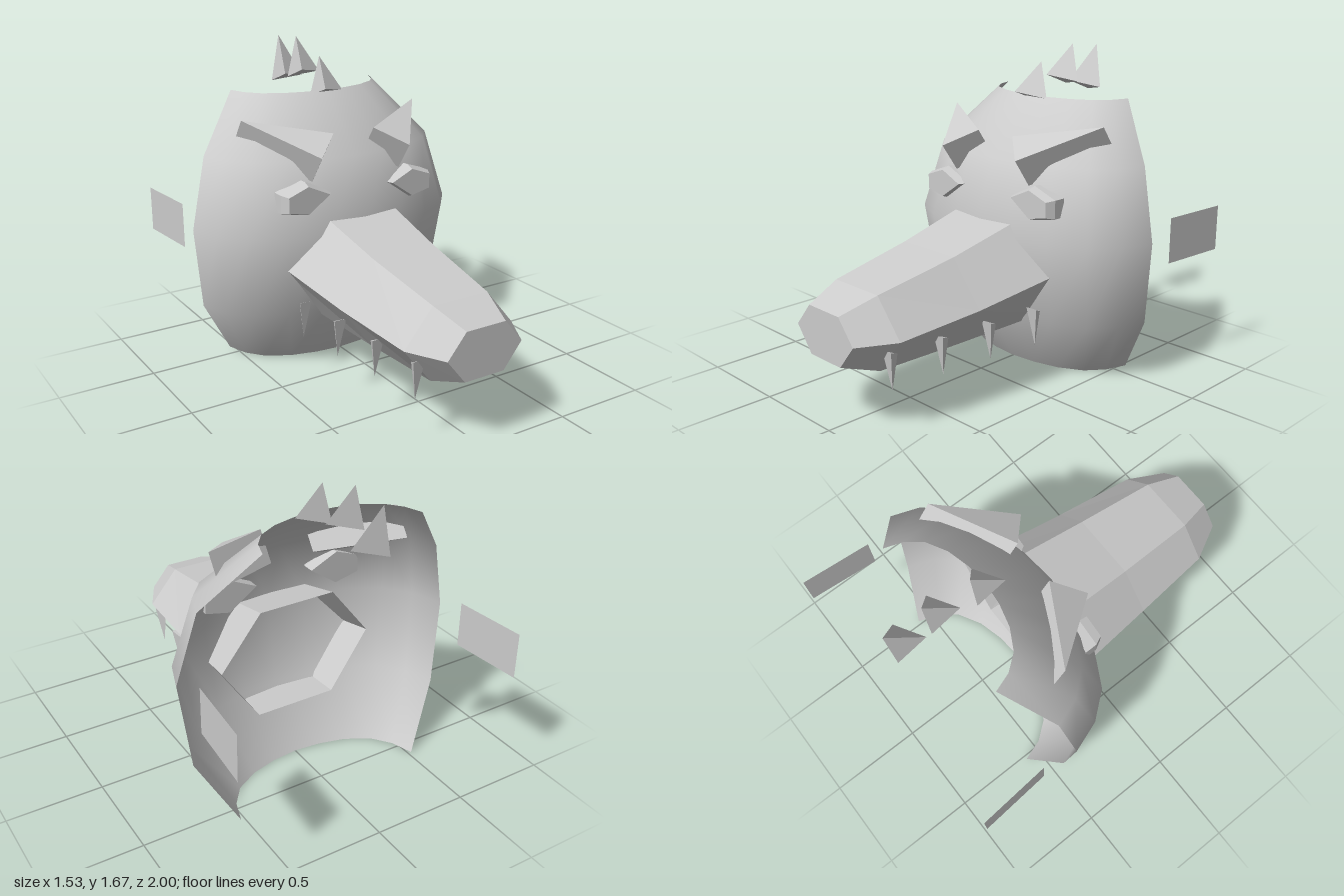
import * as THREE from 'three';
import { ConvexGeometry } from 'three/addons/geometries/ConvexGeometry.js';

const grey = new THREE.MeshStandardMaterial({ color: 0xcccccc, side: THREE.DoubleSide });
grey.name = 'maskGrey';

function mesh(name, geometry) {
  const m = new THREE.Mesh(geometry, grey);
  m.name = name;
  return m;
}

const convex = (name, points) =>
  mesh(name, new ConvexGeometry(points.map((p) => new THREE.Vector3(...p))));

// Surface through equally long rows of points
function loft(rows, closed, capLast) {
  const n = rows[0].length;
  const index = [];
  for (let r = 0; r < rows.length - 1; r++) {
    for (let c = 0; c < (closed ? n : n - 1); c++) {
      const a = r * n + c, b = r * n + ((c + 1) % n);
      index.push(a, b, b + n, a, b + n, a + n);
    }
  }
  if (capLast) {
    const s = (rows.length - 1) * n;
    for (let c = 1; c < n - 1; c++) index.push(s, s + c, s + c + 1);
  }
  const g = new THREE.BufferGeometry();
  g.setAttribute('position', new THREE.Float32BufferAttribute(rows.flat(2), 3));
  g.setIndex(index);
  return g;
}

// Smooth open face shell: each row is [y, half width, centre z, edge z]
function faceShell() {
  const across = [[0, 0], [0.27, 0.04], [0.54, 0.15], [0.78, 0.36], [0.925, 0.65], [1, 1]];
  const half = across.slice(1);
  const columns = [...half.map(([x, d]) => [-x, d]).reverse(), ...across];
  const rows = [
    [0, 0.52, -0.25, -0.58],
    [0.33, 0.71, -0.05, -0.47],
    [0.77, 0.76, 0.03, -0.435],
    [1.14, 0.665, -0.08, -0.475],
    [1.43, 0.425, -0.37, -0.635],
  ].map(([y, w, front, edge]) => columns.map(([x, d]) => [x * w, y, front + (edge - front) * d]));
  const g = loft(rows, false, false);
  g.computeVertexNormals();
  return mesh('faceShell', g);
}

// Six-sided snout, open at the back:
// each section is [z, top y, top x, middle y, middle x, bottom y, bottom x]
function snout() {
  const rows = [
    [-0.25, 0.9, 0.21, 0.62, 0.43, 0.31, 0.22],
    [0.36, 0.75, 0.18, 0.525, 0.36, 0.3, 0.19],
    [0.81, 0.665, 0.155, 0.48, 0.31, 0.295, 0.16],
    [1, 0.6, 0.11, 0.48, 0.21, 0.355, 0.11],
  ].map(([z, ty, tx, my, mx, by, bx]) => [
    [tx, ty, z], [-tx, ty, z], [-mx, my, z], [-bx, by, z], [bx, by, z], [mx, my, z],
  ]);
  const g = loft(rows, true, true).toNonIndexed();
  g.computeVertexNormals();
  return mesh('snout', g);
}

// Paired parts for the model's left
function sideParts(name) {
  const side = new THREE.Group();
  side.name = name;

  // Five-cornered eye block with a slightly smaller front
  const outline = [[0.16, 0.98], [0.31, 1.05], [0.445, 1.0], [0.445, 0.905], [0.31, 0.875]];
  const shrink = ([x, y]) => [0.32 + (x - 0.32) * 0.82, 0.965 + (y - 0.965) * 0.82, -0.02];
  side.add(convex('eye', [
    ...outline.flatMap(([x, y]) => [[x, y, -0.13], [x, y, -0.065]]),
    ...outline.map(shrink),
  ]));

  // Wedge brow sunk into the shell
  const brow = [[0.12, 1.265, -0.1], [0.26, 1.18, 0.025], [0.52, 1.335, -0.325]];
  side.add(convex('brow', [...brow, ...brow.map(([x, y, z]) => [x, y - 0.14, z - 0.1])]));

  // Row of pointed teeth
  for (let i = 0; i < 4; i++) {
    const z = 0.81 - i * 0.285, x = 0.245 + i * 0.033;
    side.add(convex('tooth', [
      [x - 0.033, 0.43, z + 0.03], [x + 0.033, 0.43, z + 0.03],
      [x, 0.4, z - 0.035], [x, 0.225, z],
    ]));
  }

  // Floating plate beside the head
  const plate = loft([
    [[0.765, 0.62, -1], [0.735, 0.62, -0.62]],
    [[0.765, 0.86, -1], [0.735, 0.86, -0.62]],
  ], false, false);
  plate.computeVertexNormals();
  side.add(mesh('sidePlate', plate));
  return side;
}

// Three-sided crest spike leaning backward
function spike(y, z, height) {
  const g = new THREE.ConeGeometry(0.1, height, 3).toNonIndexed();
  g.translate(0, height / 2, 0);
  g.rotateY(Math.PI / 2);
  g.rotateX(-0.36);
  g.computeVertexNormals();
  const m = mesh('crestSpike', g);
  m.position.set(0, y, z);
  return m;
}

export function createModel() {
  const model = new THREE.Group();
  model.name = 'beastMask';
  model.add(faceShell(), snout());

  const left = sideParts('leftSide');
  const right = sideParts('rightSide');
  right.scale.x = -1;
  model.add(left, right);

  model.add(spike(1.42, -0.375, 0.19), spike(1.485, -0.62, 0.2), spike(1.435, -0.81, 0.235));
  return model;
}
